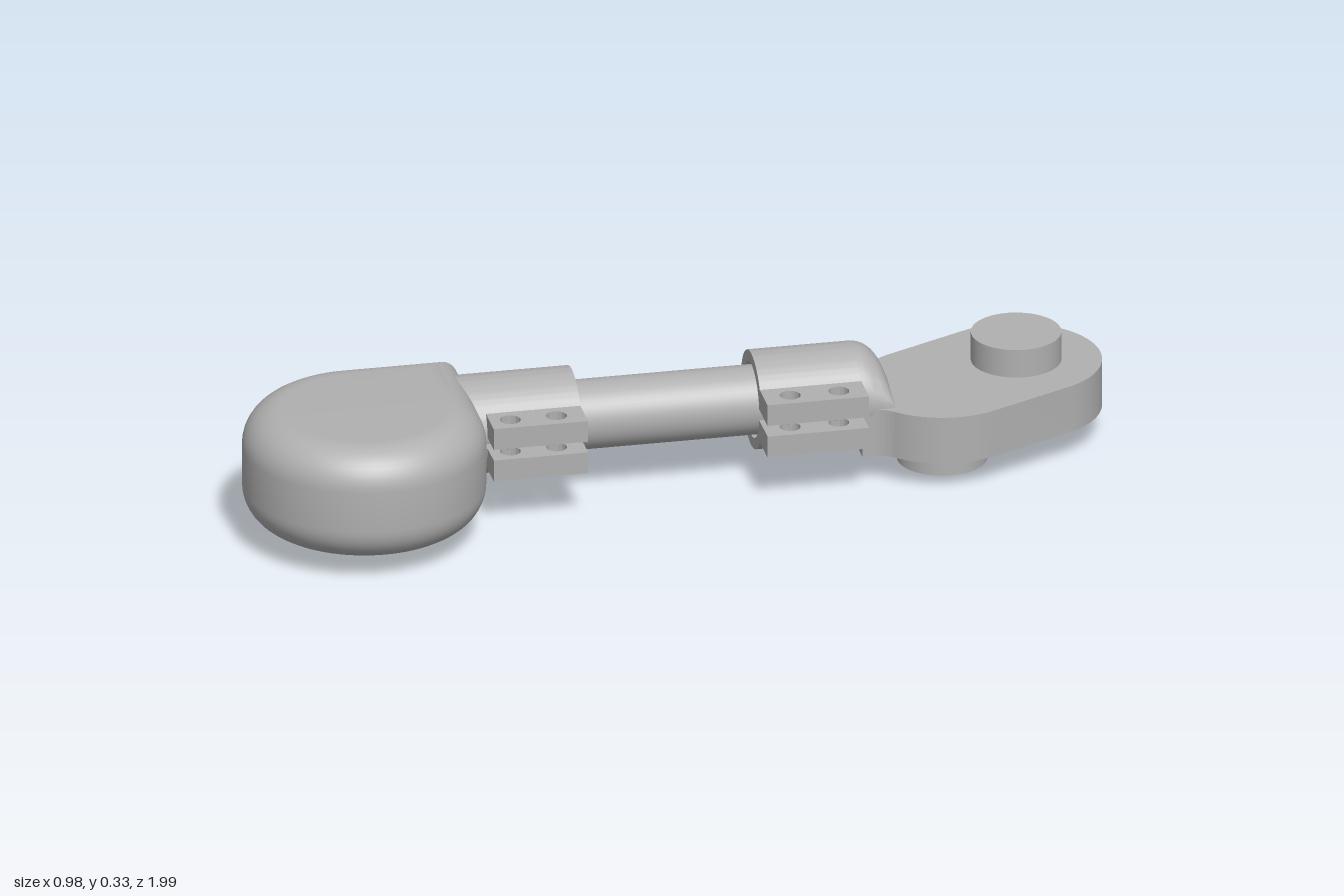
import * as THREE from 'three';
import { toCreasedNormals } from 'three/addons/utils/BufferGeometryUtils.js';

const AXIS_Y = 0.188;                       // height of the rod's axis
const TILT = THREE.MathUtils.degToRad(27.6); // turn of the arm in plan
const rad = THREE.MathUtils.degToRad;

export function createModel() {
  const model = new THREE.Group();
  model.name = 'clampedArm';
  const grey = new THREE.MeshStandardMaterial({ color: 0xb0b0b0 });
  grey.name = 'plain grey';

  const add = (parent, name, geometry, x = 0, y = 0, z = 0) => {
    const mesh = new THREE.Mesh(geometry, grey);
    mesh.name = name;
    mesh.position.set(x, y, z);
    parent.add(mesh);
    return mesh;
  };
  // Plan outline (x, z) made into a slab hanging down from y = 0
  const slab = (shape, depth, options = {}) => toCreasedNormals(
    new THREE.ExtrudeGeometry(shape, { depth, bevelEnabled: false, curveSegments: 32, ...options })
      .rotateX(Math.PI / 2), 0.5);

  // The arm: local z runs along the rod, local y = 0 is its axis
  const arm = new THREE.Group();
  arm.name = 'arm';
  arm.position.set(-0.018, AXIS_Y, -0.009);
  arm.rotation.y = -TILT;
  model.add(arm);

  // Rod
  add(arm, 'rod', new THREE.CylinderGeometry(0.081, 0.081, 0.95, 48).rotateX(Math.PI / 2), 0, 0, 0.035);

  // Split sleeves with a pair of drilled tabs each
  const R = 0.115, INNER = 0.089, SLIT = 0.0135;
  const sleeve = (name, z0, z1) => {
    const a = Math.asin(SLIT / R), b = Math.asin(SLIT / INNER);
    const ring = new THREE.Shape();
    ring.absarc(0, 0, R, a, 2 * Math.PI - a, false);
    ring.absarc(0, 0, INNER, 2 * Math.PI - b, b, true);
    ring.closePath();
    const geometry = new THREE.ExtrudeGeometry(ring, { depth: z1 - z0, bevelEnabled: false, curveSegments: 48 });
    add(arm, name, toCreasedNormals(geometry, 0.5), 0, 0, z0);
  };
  const tabs = (name, z0, z1, holes) => {
    const s = new THREE.Shape();
    s.moveTo(0.09, z0);
    s.lineTo(0.181, z0);
    s.lineTo(0.181, z1);
    s.lineTo(0.09, z1);
    s.closePath();
    for (const z of holes) s.holes.push(new THREE.Path().absarc(0.137, z, 0.024, 0, 2 * Math.PI, true));
    const geometry = slab(s, 0.052);
    add(arm, name + 'Upper', geometry, 0, SLIT + 0.052, 0);
    add(arm, name + 'Lower', geometry, 0, -SLIT, 0);
  };
  sleeve('frontSleeve', 0.213, 0.53);
  tabs('frontTab', 0.213, 0.434, [0.278, 0.386]);
  sleeve('backSleeve', -0.4425, -0.207);
  tabs('backTab', -0.4445, -0.207, [-0.383, -0.269]);

  // Rounded pad: a disc with one square corner that meets the front sleeve
  const cx = 0.16, cz = 0.733, r = 0.28, fillet = 0.09;
  const pad = new THREE.Shape();
  pad.moveTo(cx - r, cz - r);
  pad.lineTo(cx, cz - r);
  pad.absarc(cx, cz, r, -Math.PI / 2, Math.PI, false);
  pad.closePath();
  const padHeight = 0.277;
  add(arm, 'pad', slab(pad, padHeight - 2 * fillet, {
    bevelEnabled: true, bevelSize: fillet, bevelOffset: -fillet,
    bevelThickness: fillet, bevelSegments: 10, curveSegments: 48,
  }), 0, 0.327 - fillet - AXIS_Y, 0);

  // Shoulder: the sleeve's end curving down onto the plate
  const LENGTH = 0.08;
  const shoulder = new THREE.CylinderGeometry(R, R, LENGTH, 48, 10).rotateX(Math.PI / 2);
  const p = shoulder.attributes.position;
  for (let i = 0; i < p.count; i++) {
    const t = 0.5 - p.getZ(i) / LENGTH;
    if (p.getY(i) > 0) p.setY(i, p.getY(i) * Math.sqrt(Math.max(0, 1 - t * t)));
  }
  add(arm, 'shoulder', toCreasedNormals(shoulder, 0.6), 0, 0, -0.4425 - LENGTH / 2);

  // Mounting plate: two joined discs with a flared neck
  const plate = new THREE.Shape();
  plate.moveTo(0.085, -0.455);
  plate.quadraticCurveTo(0.108, -0.485, 0.102, -0.513);
  plate.absarc(0.283, -0.59, 0.197, rad(157), rad(180), false);
  plate.absarc(0.291, -0.803, 0.197, rad(180), rad(360), false);
  plate.absarc(0.283, -0.59, 0.197, 0, rad(73), false);
  plate.quadraticCurveTo(0.30, -0.385, 0.289, -0.348);
  plate.closePath();
  add(model, 'mountingPlate', slab(plate, 0.115), 0, AXIS_Y, 0);

  // Pins above and below the plate
  const pin = (name, x, z, y0, y1) =>
    add(model, name, new THREE.CylinderGeometry(0.104, 0.104, y1 - y0, 48), x, (y0 + y1) / 2, z);
  pin('upperPin', 0.291, -0.803, 0.18, 0.257);
  pin('lowerPin', 0.283, -0.59, 0, 0.08);

  return model;
}
